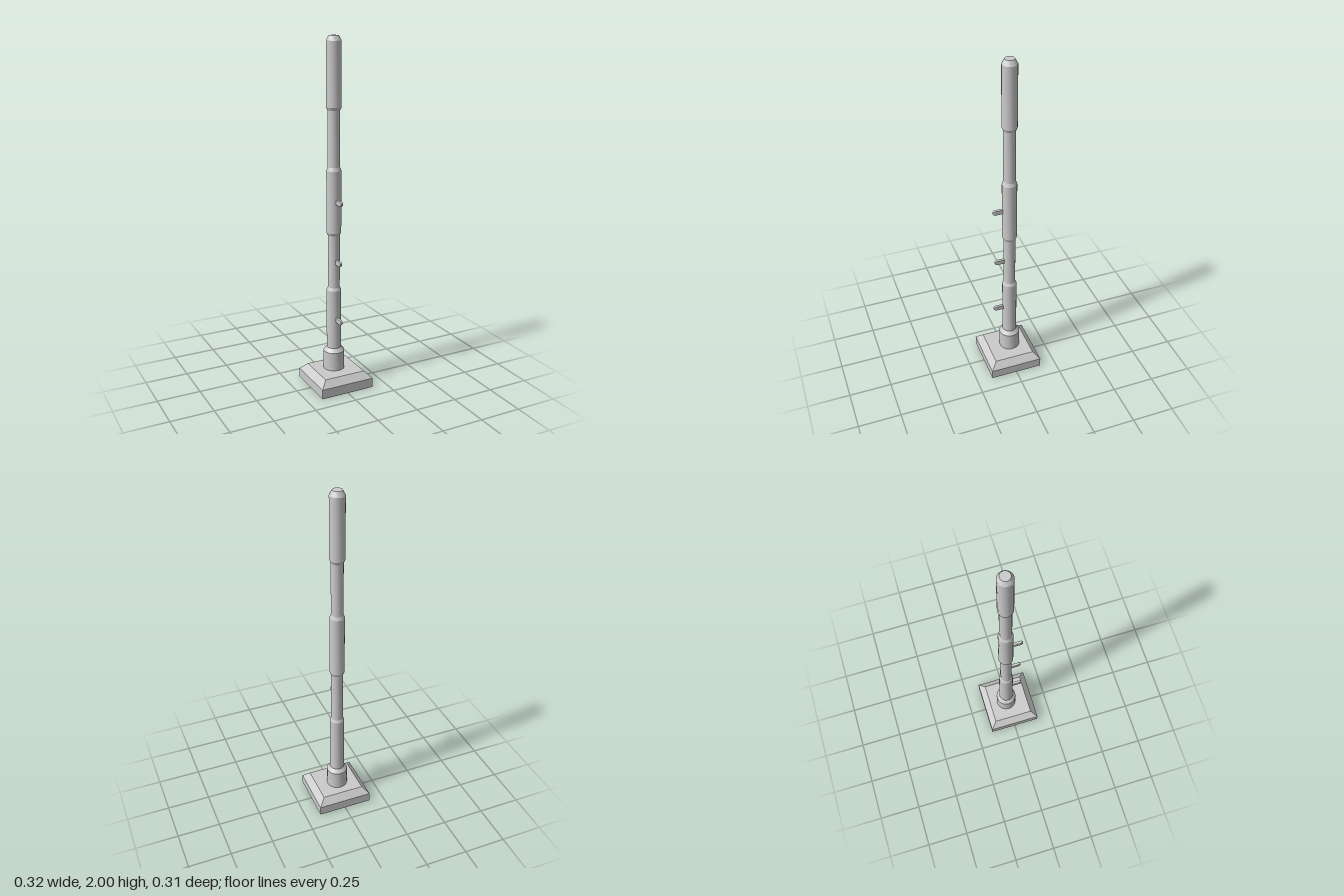
import * as THREE from 'three';
import { toCreasedNormals } from 'three/addons/utils/BufferGeometryUtils.js';

const material = new THREE.MeshStandardMaterial({ color: 0xcccccc });

function addMesh(parent, name, geometry, x = 0, y = 0, z = 0) {
  const mesh = new THREE.Mesh(geometry, material);
  mesh.name = name;
  mesh.position.set(x, y, z);
  parent.add(mesh);
  return mesh;
}

// Box from y = 0 to h whose top face shrinks to w2 x d2
function taperedBox(w, d, h, w2, d2) {
  const g = new THREE.BoxGeometry(w, h, d).translate(0, h / 2, 0);
  const p = g.attributes.position;
  for (let i = 0; i < p.count; i++) {
    if (p.getY(i) > h / 2) p.setXYZ(i, p.getX(i) * w2 / w, h, p.getZ(i) * d2 / d);
  }
  const flat = g.toNonIndexed();
  flat.computeVertexNormals();
  return flat;
}

// Turned solid with smooth sides and crisp shoulders
function turned(points) {
  const profile = points.map(([r, y]) => new THREE.Vector2(r, y));
  return toCreasedNormals(new THREE.LatheGeometry(profile, 20), 0.35);
}

export function createModel() {
  const group = new THREE.Group();

  // Square plinth with sloped shoulders
  const base = new THREE.Group();
  base.name = 'base';
  addMesh(base, 'baseSlab', new THREE.BoxGeometry(0.323, 0.056, 0.312), 0, 0.028, 0);
  addMesh(base, 'baseSlope', taperedBox(0.323, 0.312, 0.039, 0.248, 0.238), 0, 0.056, 0);
  group.add(base);

  // Pole stands slightly off the plinth centre
  const pole = new THREE.Group();
  pole.name = 'pole';
  pole.position.set(-0.004, 0, -0.013);
  group.add(pole);

  addMesh(pole, 'collar', turned([[0, 0.09], [0.061, 0.09], [0.061, 0.205], [0.042, 0.228], [0, 0.228]]));

  // Shaft alternating between thick and thin sections
  const wide = 0.042, thin = 0.034;
  addMesh(pole, 'shaft', turned([
    [0, 0.2], [wide, 0.2], [wide, 0.58], [thin, 0.597],
    [thin, 0.905], [wide, 0.922], [wide, 1.275], [thin, 1.295],
    [thin, 1.605], [wide, 1.622], [wide, 1.973], [0.027, 2], [0, 2],
  ]));

  // Short pegs with chamfered tips along the front
  for (const [y, tip] of [[0.405, 0.098], [0.752, 0.088], [1.102, 0.098]]) {
    const peg = new THREE.Group();
    peg.name = 'peg';
    peg.position.y = y;
    const length = tip - 0.011 - 0.025;
    addMesh(peg, 'pegBar', new THREE.BoxGeometry(0.015, 0.026, length), 0, 0, 0.025 + length / 2);
    addMesh(peg, 'pegTip', taperedBox(0.015, 0.026, 0.011, 0.011, 0.013), 0, 0, tip - 0.011).rotation.x = Math.PI / 2;
    pole.add(peg);
  }

  return group;
}
